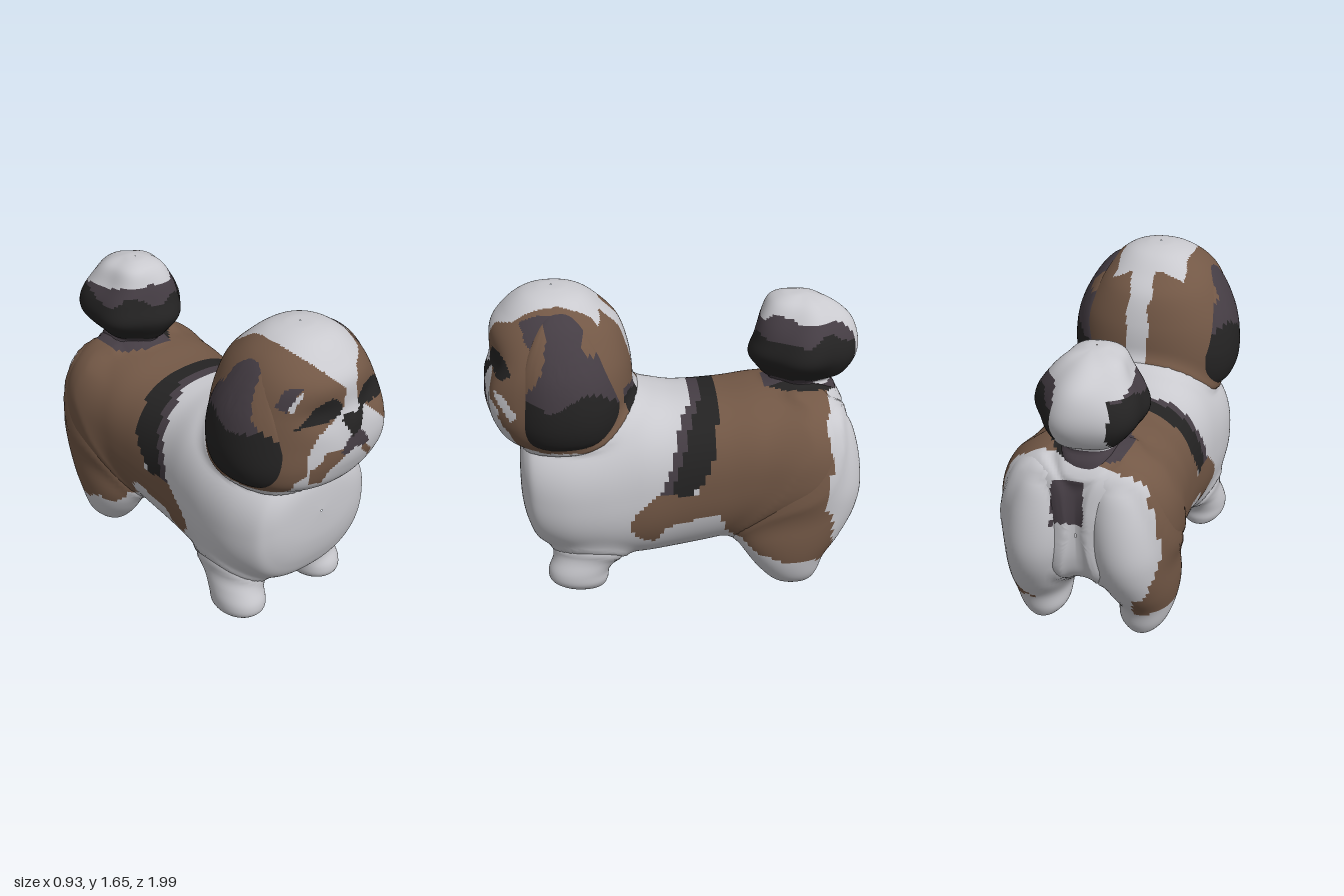
import * as THREE from 'three';

const mat = (name, color) => Object.assign(new THREE.MeshStandardMaterial({ color }), { name });
const [WHITE, BROWN, BLACK, PLUM] = [0, 1, 2, 3];

// Catmull-Rom through rows of numbers, t in 0..1
function spline(keys, t) {
  const n = keys.length - 1, f = Math.min(t * n, n - 1e-6), i = Math.floor(f), u = f - i;
  const k = j => keys[Math.max(0, Math.min(n, j))];
  return keys[i].map((_, c) => {
    const a = k(i - 1)[c], b = k(i)[c], d = k(i + 1)[c], e = k(i + 2)[c];
    return b + 0.5 * u * (d - a + u * (2 * a - 5 * b + 4 * d - e + u * (3 * (b - d) + e - a)));
  });
}

// Superellipse of unit radii, by angle
function ring(a, e) {
  const c = Math.cos(a), s = Math.sin(a), r = (Math.abs(c) ** e + Math.abs(s) ** e) ** (-1 / e);
  return [r * c, r * s];
}

// Point-in-polygon test for the coat markings
function inside(poly, x, y) {
  let hit = false;
  for (let i = 0, j = poly.length - 1; i < poly.length; j = i++) {
    const [ax, ay] = poly[i], [bx, by] = poly[j];
    if ((ay > y) !== (by > y) && x < (bx - ax) * (y - ay) / (by - ay) + ax) hit = !hit;
  }
  return hit;
}

// Closed rings through the keys: a grid of points, still uncoloured
function loft(name, keys, rows, cols, place, colourOf) {
  const pos = [], index = [];
  for (let r = 0; r <= rows; r++) {
    const row = spline(keys, r / rows);
    for (let c = 0; c < cols; c++) {
      pos.push(...place(row, (c / cols) * Math.PI * 2));
      const a = r * cols + c, b = r * cols + (c + 1) % cols;
      if (r < rows) index.push(a, a + cols, b, b, a + cols, b + cols);
    }
  }
  const geo = new THREE.BufferGeometry();
  geo.setAttribute('position', new THREE.Float32BufferAttribute(pos, 3));
  geo.setIndex(index);
  geo.computeVertexNormals();
  return { name, geo, colourOf };
}

// Solid loft along y or -z; keys are: axis value, centre x, centre across, radius x, radius across
function solid(name, keys, rows, cols, e, alongZ, colourOf, shape = p => p) {
  const part = loft(name, keys, rows, cols, ([t, cx, cv, rx, rv], a) => {
    const [c, s] = ring(a, e), x = cx + rx * c, v = cv + rv * s;
    return shape(alongZ ? [x, v, t] : [x, t, v]);
  }, colourOf);
  const table = Array.from({ length: 161 }, (_, i) => spline(keys, i / 160));
  const sign = alongZ ? -1 : 1;
  // Rough signed distance, used for the soft joins
  part.field = (x, y, z) => {
    const t = alongZ ? z : y, v = alongZ ? y : z;
    let lo = 0, hi = 160;
    while (hi - lo > 1) { const m = (lo + hi) >> 1; if (sign * table[m][0] < sign * t) lo = m; else hi = m; }
    const f = THREE.MathUtils.clamp((t - table[lo][0]) / (table[hi][0] - table[lo][0]), 0, 1);
    const [, cx, cv, rx, rv] = table[lo].map((q, i) => q + (table[hi][i] - q) * f);
    const past = Math.max(0, sign * (table[0][0] - t), sign * (t - table[160][0]));
    const q = Math.max(1e-4, (Math.abs((x - cx) / rx) ** e + Math.abs((v - cv) / rv) ** e) ** (1 / e));
    const d = Math.hypot(x - cx, v - cv) * (1 - 1 / q);
    return past ? Math.hypot(Math.max(d, 0), past) : d;
  };
  return part;
}

// Swell every solid where it meets another, so that they join in a soft fillet of width k
function fillet(parts, k) {
  for (const part of parts) {
    const p = part.geo.attributes.position, n = part.geo.attributes.normal;
    const others = parts.filter(o => o !== part);
    for (let i = 0; i < p.count; i++) {
      const v = [p.getX(i), p.getY(i), p.getZ(i)];
      const b = Math.min(...others.map(o => o.field(...v)));
      if (Math.abs(b) >= k) continue;
      let a = 0;
      for (let j = 0; j < 8; j++) a = k / 4 * (1 - (Math.max(b, k / 4) - a) / k) ** 2;
      a *= 1 + Math.min(0, b) / k;
      p.setXYZ(i, v[0] + a * n.getX(i), Math.max(0, v[1] + a * n.getY(i)), v[2] + a * n.getZ(i));
    }
    part.geo.computeVertexNormals();
  }
}

// Sort the quads into colour groups, with ragged fur borders
function paint({ name, geo, colourOf }, mats) {
  const p = geo.attributes.position, idx = geo.index.array, faces = mats.map(() => []);
  for (let i = 0; i < idx.length; i += 6) {
    const quad = idx.slice(i, i + 6);
    const [x, y, z] = [0, 1, 2].map(c => quad.reduce((s, j) => s + p.getComponent(j, c) / 6, 0));
    const w = 0.005 * (Math.sin(31 * y + 23 * z) + Math.sin(37 * x - 29 * y + 2));
    faces[colourOf(x + w, y - w, z + w)].push(...quad);
  }
  geo.setIndex(faces.flat());
  let start = 0;
  faces.forEach((f, i) => { if (f.length) geo.addGroup(start, f.length, i); start += f.length; });
  return Object.assign(new THREE.Mesh(geo, mats), { name });
}

// Coat markings on body and legs, as (z, y) outlines
const SADDLE = [[0.13, 0.62], [0.26, 0.47], [0.19, 0.34], [0.11, 0.32], [0.06, 0.42], [-0.21, 0.5], [-0.26, 0.39],
  [-0.4, 0.26], [-0.6, 0.19], [-0.82, 0.18], [-0.83, 0.42], [-0.77, 0.58], [-0.81, 0.74], [-0.78, 0.95], [-0.83, 1.2],
  [-0.2, 1.2], [-0.2, 0.84], [-0.1, 0.62]];
const BAND = [[-0.1, 1.2], [-0.22, 1.2], [-0.22, 1], [-0.2, 0.84], [-0.14, 0.7], [-0.07, 0.62], [0.09, 0.62], [0.04, 0.76],
  [0, 0.9], [-0.04, 1], [-0.09, 1.05]];
function bodyColour(x, y, z) {
  if (y > 1.0 && Math.hypot((x + 0.02) / 0.2, (z + 0.68) / 0.2) < 1) return x > 0.08 ? BLACK : PLUM;
  if (z < -0.86 && x > -0.04 && x < 0.12 && y > 0.73 && y < 0.96) return PLUM;
  if (y < 0.5 && Math.abs(x) < 0.27) return WHITE;
  if (inside(BAND, z, y)) return inside(BAND, z + 0.05, y) ? BLACK : PLUM;
  return inside(SADDLE, x < 0 && z < -0.5 ? z + 0.07 : z, y) ? BROWN : WHITE;
}

// Face markings, as (x, y) outlines, the topmost first
const FACE = [
  [BLACK, [[-0.03, 1.26], [-0.01, 1.29], [0.1, 1.29], [0.125, 1.26], [0.1, 1.2], [0.06, 1.16], [0.03, 1.16], [0, 1.2]]],
  [BLACK, [[-0.27, 1.25], [-0.17, 1.35], [-0.07, 1.385], [-0.01, 1.34], [-0.03, 1.29], [-0.15, 1.27]]],
  [BLACK, [[0.08, 1.33], [0.14, 1.385], [0.27, 1.37], [0.35, 1.29], [0.31, 1.255], [0.22, 1.28], [0.11, 1.27]]],
  [PLUM, [[0.02, 1.18], [0.08, 1.18], [0.13, 1.13], [0.165, 1.07], [0.11, 1.085], [0.05, 1.1], [-0.02, 1.07], [-0.04, 1.09], [-0.02, 1.13]]],
  [BROWN, [[-0.19, 0.94], [-0.11, 0.92], [-0.08, 1.02], [0, 1.09], [-0.04, 1.115], [-0.12, 1.115], [-0.19, 1.02]]],
  [BROWN, [[0.11, 1.1], [0.21, 1.0], [0.205, 0.96], [0.08, 1.07]]],
  [WHITE, [[-0.29, 1.36], [-0.21, 1.45], [-0.22, 1.42], [-0.27, 1.35]]],
  [PLUM, [[-0.33, 1.38], [-0.28, 1.46], [-0.21, 1.46], [-0.29, 1.35]]],
  [PLUM, [[0.22, 1.54], [0.26, 1.6], [0.36, 1.46], [0.33, 1.42], [0.27, 1.5]]],
  [WHITE, [[0, 1.33], [-0.15, 1.22], [-0.22, 1.1], [-0.2, 0.99], [-0.26, 0.95], [-0.25, 0.8], [0.28, 0.8],
    [0.33, 0.98], [0.32, 1.12], [0.2, 1.23], [0.09, 1.33]]],
  [WHITE, [[-0.2, 1.7], [-0.19, 1.61], [0, 1.42], [-0.01, 1.28], [0.09, 1.28], [0.08, 1.42], [0.1, 1.5], [0.2, 1.53], [0.23, 1.7]]]];
const CHEEK = [[0.93, 1.2], [0.88, 1.2], [0.81, 1.08], [0.85, 1.05]];
function headColour(x, y, z) {
  if (z > 0.62) {
    if (x > 0.27 && inside(CHEEK, z, y)) return WHITE;
    const mark = FACE.find(([, outline]) => inside(outline, x, y));
    if (mark) return mark[0];
  } else if (z > 0.38 && y > 1.4 ? x > -0.19 && x < 0.2 : Math.abs(x - 0.025) < 0.06) return WHITE;
  if (z < 0.36 && x > 0.08 && x < 0.25 && y < 1.17) return y < 1.13 ? BLACK : PLUM;
  return y < 0.87 ? WHITE : BROWN;
}

// Dark part of the ears, as a (z, y) outline
const EAR = [[0.9, 1.22], [0.77, 1.22], [0.69, 1.3], [0.65, 1.48], [0.66, 1.65], [0.5, 1.65], [0.46, 1.42], [0.31, 1.34], [0.25, 1.2],
  [0.25, 0.8], [0.9, 0.8]];

function tailColour(x, y, z) {
  if (y > (x > 0.09 ? 1.46 : 1.43) + 0.12 * (z + 0.7)) return WHITE;
  if (Math.abs(x + 0.03) < 0.13 && z < -0.75 && y > 1.1) return WHITE;
  return y > 1.38 + 0.03 * Math.sin(14 * x + 17 * z) || y < 1.14 ? PLUM : BLACK;
}

export function createModel() {
  const dog = new THREE.Group();
  dog.name = 'dog';
  const mats = [mat('whiteFur', 0xc9c9ce), mat('brownFur', 0x735846), mat('blackFur', 0x242323), mat('plumFur', 0x453d44)];

  // Body: z, top, bottom, half width
  const body = [[0.825, 0.66, 0.65, 0.005], [0.815, 0.81, 0.48, 0.22], [0.78, 0.89, 0.34, 0.33], [0.72, 0.93, 0.24, 0.39],
    [0.58, 0.97, 0.18, 0.435], [0.4, 1.02, 0.15, 0.445], [0.2, 1.08, 0.14, 0.43], [0, 1.055, 0.165, 0.41], [-0.25, 1.06, 0.22, 0.42],
    [-0.45, 1.08, 0.28, 0.435], [-0.68, 1.085, 0.32, 0.435], [-0.81, 1.06, 0.36, 0.39], [-0.89, 0.97, 0.42, 0.3],
    [-0.92, 0.82, 0.52, 0.17], [-0.925, 0.68, 0.66, 0.005]]
    .map(([z, top, bot, hw]) => [z, 0, (top + bot) / 2, hw, (top - bot) / 2]);
  const parts = [solid('body', body, 124, 150, 2.4, true, bodyColour)];

  // Legs: y, centre x, centre z, radius x, radius z
  const hind = [[0, 0.27, -0.64, 0.002, 0.002], [0.008, 0.27, -0.64, 0.06, 0.09], [0.07, 0.27, -0.625, 0.12, 0.15],
    [0.18, 0.28, -0.6, 0.15, 0.21], [0.3, 0.26, -0.61, 0.185, 0.285], [0.45, 0.24, -0.66, 0.2, 0.31],
    [0.6, 0.225, -0.69, 0.21, 0.305], [0.8, 0.205, -0.69, 0.2, 0.28], [0.95, 0.19, -0.7, 0.15, 0.21], [1.04, 0.18, -0.7, 0.05, 0.07]];
  const fore = [[0, 0.27, 0.5, 0.002, 0.002], [0.006, 0.27, 0.5, 0.07, 0.1], [0.05, 0.27, 0.525, 0.12, 0.155],
    [0.11, 0.27, 0.525, 0.13, 0.165], [0.18, 0.265, 0.49, 0.125, 0.17], [0.26, 0.25, 0.44, 0.12, 0.18], [0.4, 0.23, 0.42, 0.1, 0.14]];
  for (const side of [1, -1]) {
    const tag = side > 0 ? 'left' : 'right';
    const place = (keys, shift) => keys.map(([y, cx, ...r]) => [y, side * cx + shift, ...r]);
    parts.push(solid(tag + 'HindLeg', place(hind, 0), 52, 60, 2.1, false, bodyColour));
    parts.push(solid(tag + 'ForeLeg', place(fore, -0.03), 34, 40, 2.1, false, () => WHITE));
  }

  // Head, swelling at the muzzle, nose and left cheek and hollowed at the eyes
  const head = [[0.835, 0, 0.58, 0.005, 0.005], [0.85, 0, 0.58, 0.28, 0.25], [0.9, 0, 0.58, 0.385, 0.335], [1.0, 0, 0.58, 0.425, 0.365],
    [1.15, 0, 0.575, 0.43, 0.365], [1.3, 0, 0.585, 0.405, 0.36], [1.45, -0.01, 0.61, 0.34, 0.335], [1.55, -0.01, 0.62, 0.27, 0.255],
    [1.62, 0, 0.62, 0.175, 0.17], [1.65, 0, 0.62, 0.08, 0.08], [1.655, 0, 0.62, 0.003, 0.003]];
  parts.push(solid('head', head, 130, 210, 2.2, false, headColour, ([x, y, z]) => {
    if (z < 0.62) return [x, y, z];
    const bump = (cx, cy, rx, ry) => Math.exp(-(((x - cx) / rx) ** 2) - ((y - cy) / ry) ** 2);
    return [x, y, z + 0.05 * bump(0.04, 1.12, 0.21, 0.15) + 0.012 * bump(0.045, 1.24, 0.06, 0.06)
      + 0.07 * bump(0.31, 1.14, 0.11, 0.2) * Math.min(1, (z - 0.62) / 0.15)
      - 0.02 * (bump(-0.13, 1.31, 0.1, 0.07) + bump(0.21, 1.31, 0.1, 0.07))];
  }));

  // Tail: fluffy plume with soft lobes
  const tail = [[0.98, -0.02, -0.7, 0.16, 0.18], [1.1, -0.02, -0.7, 0.12, 0.155], [1.15, -0.02, -0.7, 0.19, 0.22],
    [1.25, -0.02, -0.69, 0.27, 0.28], [1.35, -0.02, -0.7, 0.26, 0.27], [1.45, -0.02, -0.69, 0.2, 0.235],
    [1.53, -0.03, -0.66, 0.14, 0.16], [1.565, -0.03, -0.64, 0.06, 0.07], [1.57, -0.03, -0.64, 0.002, 0.002]];
  parts.push(solid('tail', tail, 60, 80, 2, false, tailColour, ([x, y, z]) => {
    const f = 1 + 0.05 * Math.sin(5 * Math.atan2(z + 0.69, x + 0.02) + 6 * y);
    return [-0.02 + (x + 0.02) * f, y, -0.69 + (z + 0.69) * f];
  }));
  fillet(parts, 0.1);

  // Ears: domed flaps lying on the sides of the head, the right one further forward
  const rowsOfHead = Array.from({ length: 400 }, (_, i) => spline(head, i / 399));
  const headX = (y, z) => {
    const [, , cz, rx, rz] = rowsOfHead.find(r => r[0] >= y);
    return rx * Math.max(0, 1 - Math.abs((z - cz) / rz) ** 2.2) ** (1 / 2.2);
  };
  for (const side of [1, -1]) {
    const mid = side > 0 ? 0.555 : 0.59, dark = side > 0 ? 1.18 : 1.24;
    parts.push(loft(side > 0 ? 'leftEar' : 'rightEar', [[0.002], [0.5], [1]], 30, 72, ([s], a) => {
      const [c, up] = ring(a, 2.7), high = Math.max(0, up);
      const y = 1.12 + s * up * (up > 0 ? 0.46 : 0.24), z = mid + s * (0.03 * high - side * c * (0.265 - 0.12 * high));
      return [side * (headX(y, z) + 0.036 * Math.sqrt(Math.max(0, 1 - s * s)) - 0.003), y, z];
    }, (x, y, z) => {
      if (!inside(EAR, z - mid + 0.555, y)) return BROWN;
      return y > dark + 0.035 * Math.sin(17 * z) ? PLUM : BLACK;
    }));
  }

  dog.add(...parts.map(part => paint(part, mats)));
  return dog;
}
